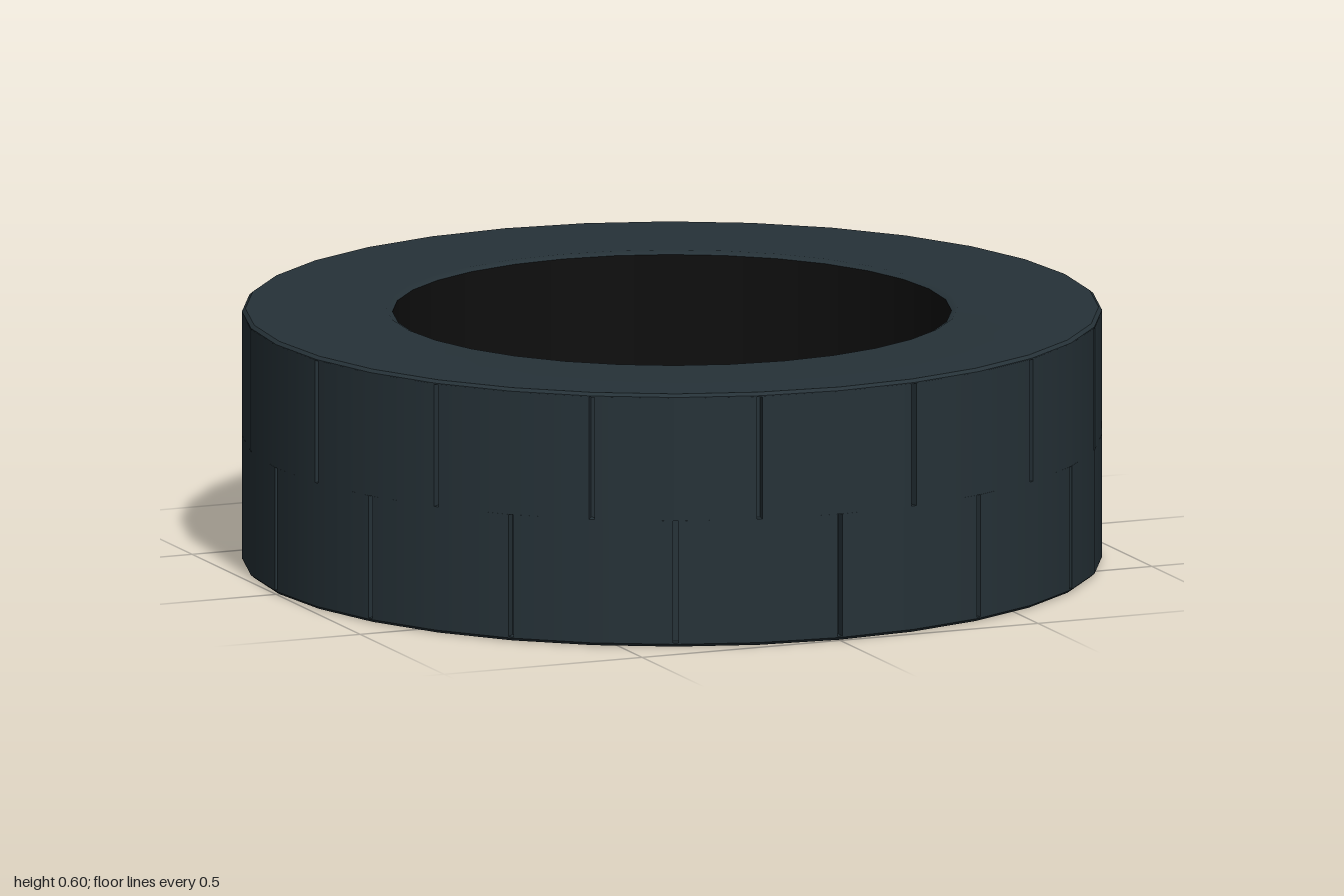
import * as THREE from 'three';

const HEIGHT = 0.6, INNER = 0.65, OUTER = 1, FLOOR = 0.975;
const BLOCKS = 16, STEP = (Math.PI * 2) / BLOCKS, GAP = 0.013;

const rubber = new THREE.MeshStandardMaterial({ color: 0x263238 });
rubber.name = 'rubber';
const rubberThin = rubber; // groove walls are closed by the blocks' own end caps
rubberThin.side = THREE.DoubleSide;
const lining = new THREE.MeshStandardMaterial({ color: 0x0f0f0f });
lining.name = 'lining';

// Revolved surface; a repeated profile point makes a sharp edge.
function revolve(points, segments, start = 0, length = Math.PI * 2) {
  const profile = points.map(([r, y]) => new THREE.Vector2(r, y));
  const geometry = new THREE.LatheGeometry(profile, segments, start, length);
  geometry.normalizeNormals();
  return geometry;
}

function addMesh(parent, name, geometry, material) {
  const mesh = new THREE.Mesh(geometry, material);
  mesh.name = name;
  parent.add(mesh);
  return mesh;
}

// One tread block between two grooves, with flat radial end caps.
function treadBlock(y0, y1, angle) {
  const block = new THREE.Group();
  block.name = 'treadBlock';
  const start = angle + GAP / 2, length = STEP - GAP;
  const a = [FLOOR - 0.01, y0], b = [OUTER, y0], c = [OUTER, y1], d = [FLOOR - 0.01, y1];
  addMesh(block, 'treadFace', revolve([a, b, b, c, c, d], 2, start, length), rubber);
  for (const phi of [start, start + length]) {
    const cap = new THREE.ShapeGeometry(
      new THREE.Shape([a, b, c, d].map(([r, y]) => new THREE.Vector2(r, y))));
    addMesh(block, 'grooveWall', cap, rubber).rotation.y = phi - Math.PI / 2;
  }
  return block;
}

export function createModel() {
  const tyre = new THREE.Group();
  tyre.name = 'tyre';

  // Sidewalls, thin edge lips and the groove floor
  const lower = [
    [INNER, 0.008], [0.665, 0], [0.992, 0], [0.992, 0],
    [OUTER, 0.007], [OUTER, 0.007], [OUTER, 0.01], [OUTER, 0.01], [FLOOR, 0.01], [FLOOR, 0.01],
  ];
  const upper = lower.map(([r, y]) => [r, HEIGHT - y]).reverse();
  addMesh(tyre, 'carcass', revolve([...lower, ...upper], BLOCKS * 2), rubber);

  // Inner wall of the hole
  addMesh(tyre, 'innerWall',
    revolve([[INNER, HEIGHT - 0.008], [INNER, 0.008]], BLOCKS * 2), lining);

  // Two staggered rows of tread blocks
  for (let i = 0; i < BLOCKS; i++) {
    tyre.add(treadBlock(0.009, HEIGHT / 2, i * STEP));
    tyre.add(treadBlock(HEIGHT / 2, HEIGHT - 0.009, (i + 0.5) * STEP));
  }
  return tyre;
}
